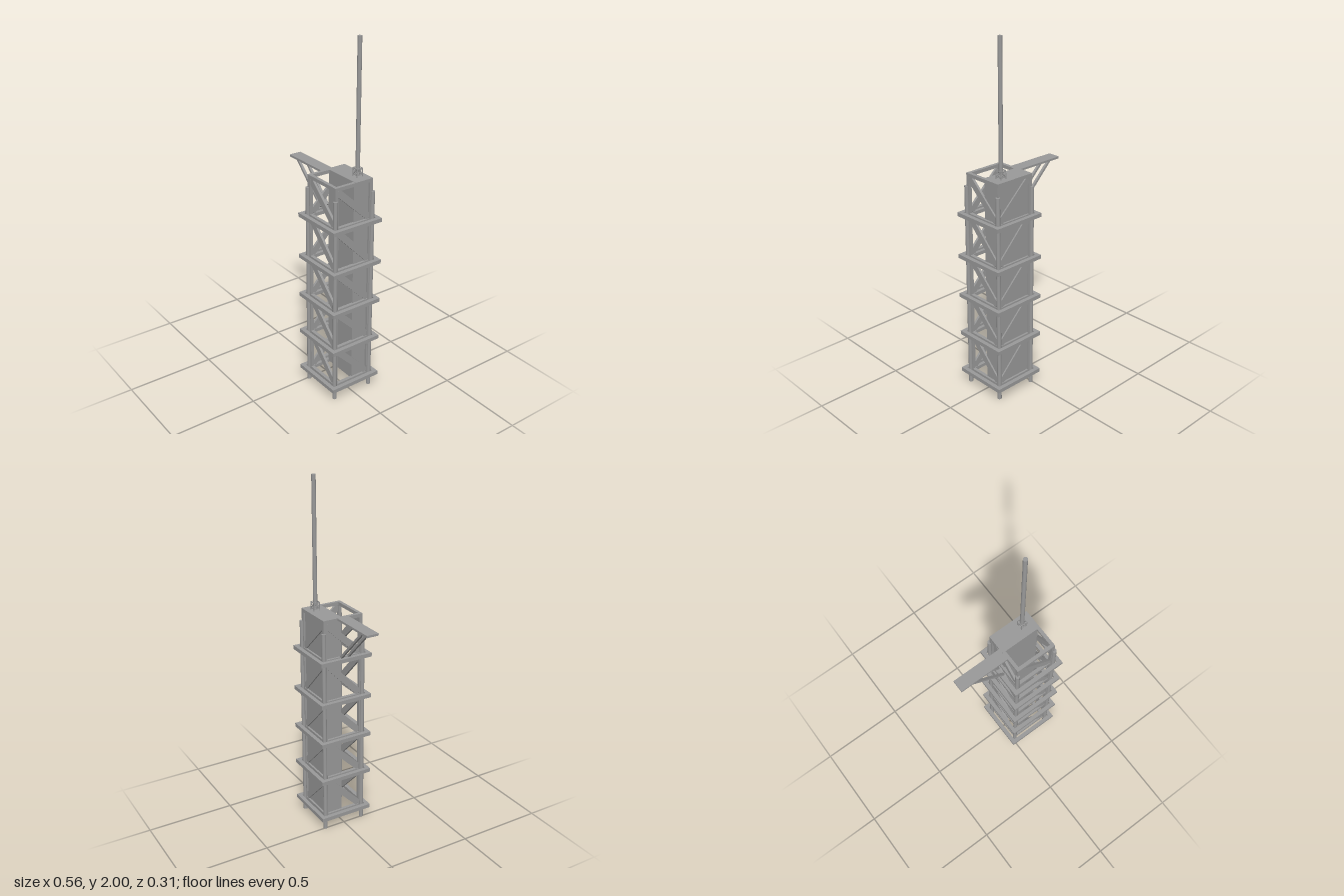
import * as THREE from 'three';

const steel = new THREE.MeshStandardMaterial({ color: 0x999999 });
const CX = 0.125, HALF = 0.12, BAR = 0.019, TOP = 1.272;
const LEVELS = [0.077, 0.318, 0.555, 0.793, 1.038];

function mesh(name, geometry, parent, x = 0, y = 0, z = 0) {
  const m = new THREE.Mesh(geometry, steel);
  m.name = name;
  m.position.set(x, y, z);
  parent.add(m);
  return m;
}

function box(name, parent, w, h, d, x, y, z) {
  return mesh(name, new THREE.BoxGeometry(w, h, d), parent, x, y, z);
}

// Square bar from a to b; width lies in the plane of the face, depth along its normal
function strut(name, parent, a, b, width, depth, normal) {
  const dir = b.clone().sub(a);
  const length = dir.length();
  dir.normalize();
  const m = mesh(name, new THREE.BoxGeometry(width, length, depth), parent);
  m.position.copy(a).add(b).multiplyScalar(0.5);
  const side = new THREE.Vector3().crossVectors(dir, normal);
  m.quaternion.setFromRotationMatrix(new THREE.Matrix4().makeBasis(side, dir, normal));
  return m;
}

// Flat rectangular ring lying in the xz plane
function ring(name, parent, outer, inner, height, y) {
  const square = (T, s) => {
    const p = new T();
    p.moveTo(-s, -s); p.lineTo(s, -s); p.lineTo(s, s); p.lineTo(-s, s); p.closePath();
    return p;
  };
  const shape = square(THREE.Shape, outer);
  shape.holes.push(square(THREE.Path, inner));
  const g = new THREE.ExtrudeGeometry(shape, { depth: height, bevelEnabled: false });
  g.translate(0, 0, -height / 2).rotateX(-Math.PI / 2);
  return mesh(name, g, parent, 0, y, 0);
}

export function createModel() {
  const model = new THREE.Group();
  model.name = 'serviceTower';
  const tower = new THREE.Group();
  tower.name = 'tower';
  tower.position.x = CX;
  model.add(tower);

  // Round legs and square corner posts
  const inset = HALF - BAR / 2;
  for (const sx of [-1, 1]) for (const sz of [-1, 1]) {
    mesh('leg', new THREE.CylinderGeometry(0.012, 0.012, 1.2, 20), tower, sx * HALF, 0.6, sz * HALF);
    box('cornerPost', tower, BAR, TOP - 0.07, BAR, sx * inset, (TOP + 0.07) / 2, sz * inset);
  }

  // Walkway rings with the frame bars inside them
  for (const y of LEVELS) {
    ring('walkwayRing', tower, 0.157, 0.134, 0.022, y);
    ring('levelFrame', tower, HALF, HALF - BAR, BAR, y);
  }
  ring('topFrame', tower, HALF, HALF - BAR, BAR, TOP - BAR / 2);

  // One diagonal per face in every bay
  const V = (x, y, z) => new THREE.Vector3(x, y, z);
  const e = 0.101, depth = 0.013;
  LEVELS.forEach((y, i) => {
    const lo = y + 0.018;
    const hi = i < LEVELS.length - 1 ? LEVELS[i + 1] - 0.018 : TOP - 0.027;
    for (const s of [-1, 1]) {
      strut('endBrace', tower, V(-e, hi, s * inset), V(e, lo, s * inset), 0.037, depth, V(0, 0, 1));
      strut('sideBrace', tower, V(s * inset, hi, s * e), V(s * inset, lo, -s * e), 0.037, depth, V(1, 0, 0));
    }
  });

  // Enclosed shaft in the rear half, with its roof
  box('shaft', tower, 0.215, TOP - 0.08, 0.102, 0, (TOP + 0.07) / 2, -0.058);
  box('shaftRoof', tower, 0.24, BAR, 0.114, 0, TOP - BAR / 2 + 0.0005, -0.064);

  // Access arm with a pair of sloping supports
  const arm = new THREE.Group();
  arm.name = 'accessArm';
  model.add(arm);
  box('armDeck', arm, 0.29, 0.012, 0.07, -0.138, TOP - 0.006, -0.001);
  for (const s of [-1, 1]) {
    strut('armSupport', arm, V(-0.221, TOP - 0.01, s * 0.022), V(-0.013, 1.055, s * 0.022),
      0.013, 0.014, V(0, 0, 1));
  }

  // Mast on a small braced pedestal
  const mast = new THREE.Group();
  mast.name = 'mast';
  mast.position.set(0.178, TOP, -0.072);
  model.add(mast);
  ring('pedestalBase', mast, 0.019, 0.0155, 0.004, 0.012);
  ring('pedestalTop', mast, 0.019, 0.0155, 0.004, 0.046);
  for (const sx of [-1, 1]) {
    for (const sz of [-1, 1]) {
      box('pedestalPost', mast, 0.0035, 0.048, 0.0035, sx * 0.01725, 0.024, sz * 0.01725);
    }
    for (const d of [-1, 1]) {
      strut('pedestalBrace', mast, V(-d * 0.016, 0.013, sx * 0.01725), V(d * 0.016, 0.045, sx * 0.01725),
        0.003, 0.003, V(0, 0, 1));
      strut('pedestalBrace', mast, V(sx * 0.01725, 0.013, -d * 0.016), V(sx * 0.01725, 0.045, d * 0.016),
        0.003, 0.003, V(1, 0, 0));
    }
  }
  mesh('mastPole', new THREE.CylinderGeometry(0.0115, 0.0115, 2 - TOP - 0.01, 20), mast,
    0, (2 - TOP + 0.01) / 2, 0);

  return model;
}
